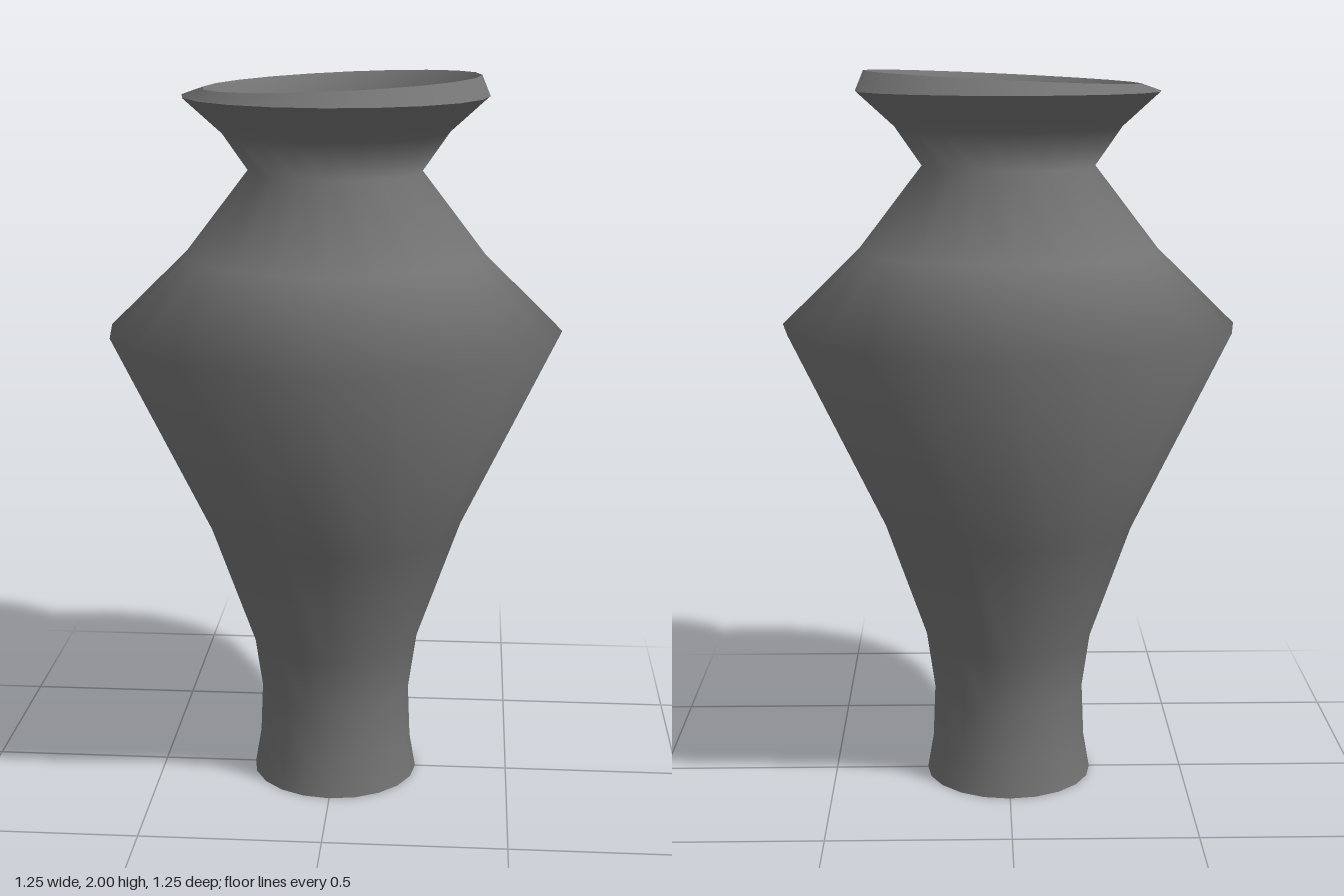
import * as THREE from 'three';

const SIDES = 20;
const LIP_Y = 1.9825;

// Each part is a profile of [radius, height]; separate parts keep sharp edges between them
const parts = {
  footBase: [[0, 0], [0.235, 0]],
  outerWall: [
    [0.235, 0], [0.218, 0.1], [0.212, 0.25], [0.235, 0.41], [0.355, 0.75],
    [0.625, 1.31], [0.41, 1.52], [0.237, 1.745], [0.31, 1.85], [0.415, 1.945],
  ],
  rim: [[0.415, 1.945], [0.375, LIP_Y]],
  innerWall: [
    [0.375, LIP_Y], [0.185, 1.745], [0.36, 1.5], [0.56, 1.3],
    [0.305, 0.75], [0.185, 0.41], [0.16, 0.25], [0.16, 0.05],
  ],
  innerFloor: [[0.16, 0.05], [0, 0.05]],
};

// The lip ring leans up and shifts slightly to one side
function tiltLip(geometry) {
  const pos = geometry.attributes.position;
  for (let i = 0; i < pos.count; i++) {
    if (pos.getY(i) < 1.96) continue;
    const x = pos.getX(i);
    pos.setXY(i, x + 0.017, LIP_Y + 0.0175 * (x / 0.375));
  }
}

export function createModel() {
  const group = new THREE.Group();
  group.name = 'vase';
  const glaze = new THREE.MeshStandardMaterial({ color: 0x727272 });

  for (const [name, profile] of Object.entries(parts)) {
    const points = profile.map(([r, y]) => new THREE.Vector2(r, y));
    const geometry = new THREE.LatheGeometry(points, SIDES);
    tiltLip(geometry);
    const mesh = new THREE.Mesh(geometry, glaze);
    mesh.name = name;
    group.add(mesh);
  }
  return group;
}
